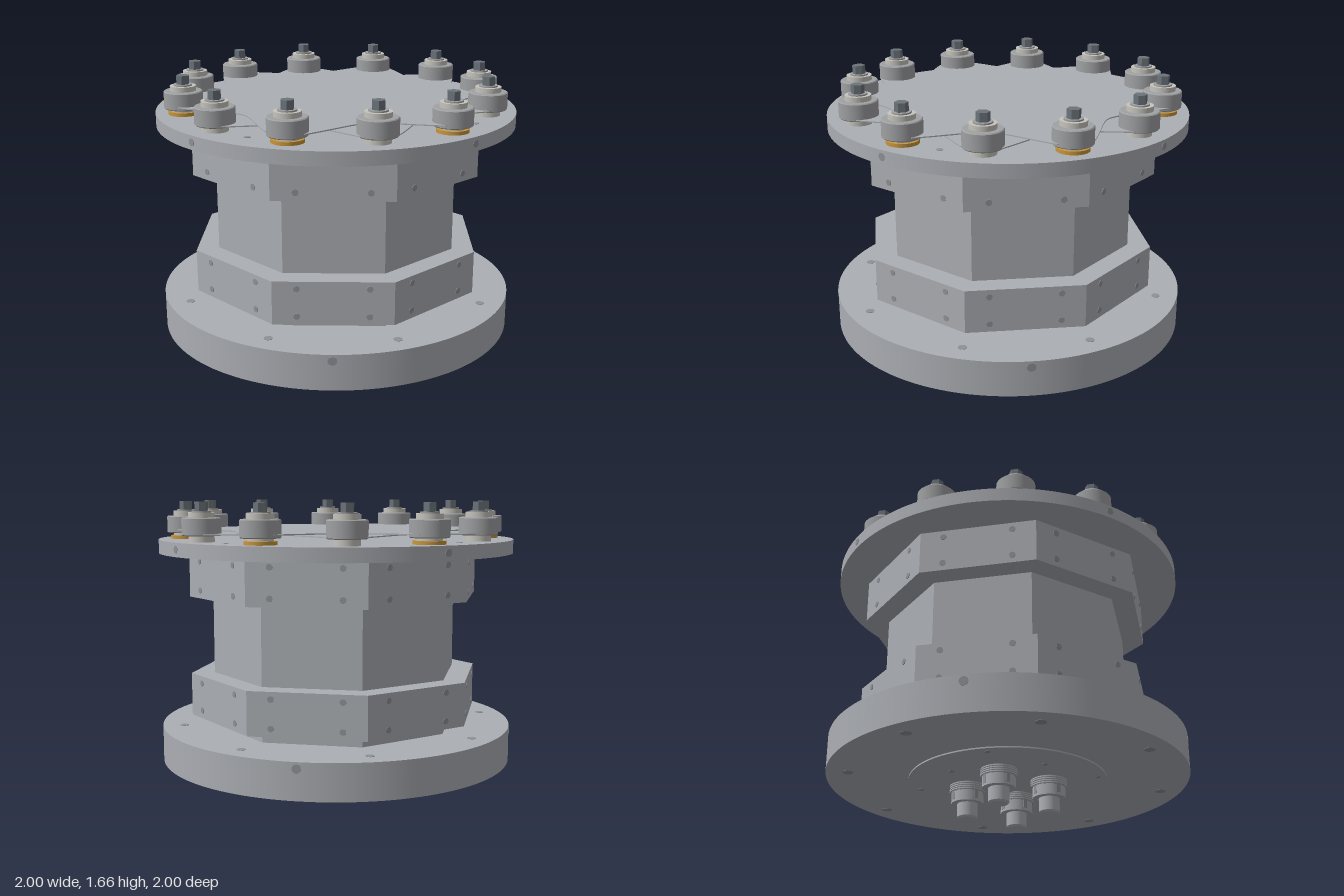
import * as THREE from 'three';

const mat = (name, color, flatShading = false) => {
  const m = new THREE.MeshStandardMaterial({ color, flatShading });
  m.name = name;
  return m;
};

export function createModel() {
  const root = new THREE.Group();
  root.name = 'turntableStand';
  const body = mat('body grey', 0xabaeb3);
  const facet = mat('body grey faceted', 0xabaeb3, true);
  const roller = mat('roller grey', 0xa0a1a3);
  const bush = mat('bushing pale', 0xc6c4bc);
  const steel = mat('bolt steel', 0x6c747a, true);
  const brass = mat('brass', 0xc8963c);
  const recess = mat('hole grey', 0x8e9196);

  const add = (parent, name, geo, material, x = 0, y = 0, z = 0) => {
    const m = new THREE.Mesh(geo, material);
    m.name = name;
    m.position.set(x, y, z);
    parent.add(m);
    return m;
  };
  // Upright cylinder between two heights
  const cyl = (parent, name, r, y0, y1, material, seg = 48, rBottom = r) =>
    add(parent, name, new THREE.CylinderGeometry(r, rBottom, y1 - y0, seg), material, 0, (y0 + y1) / 2, 0);
  const at = (name, angle, r) => {
    const g = new THREE.Group();
    g.name = name;
    g.position.set(Math.cos(angle) * r, 0, Math.sin(angle) * r);
    root.add(g);
    return g;
  };
  const lathe = (pts) => new THREE.LatheGeometry(pts.map(([r, y]) => new THREE.Vector2(r, y)), 40);

  // Base and top discs
  cyl(root, 'baseDisc', 1, 0.2, 0.4, body, 128);
  cyl(root, 'topDisc', 1, 1.38, 1.455, body, 128);
  cyl(root, 'undersideCover', 0.55, 0.192, 0.2, body, 96);

  // Eight-sided column with two clamping bands
  const octagon = (name, apothem, y0, y1) => {
    cyl(root, name, apothem / Math.cos(Math.PI / 8), y0, y1, facet, 8).rotation.y = Math.PI / 8;
  };
  octagon('column', 0.65, 0.4, 1.38);
  octagon('lowerBand', 0.77, 0.46, 0.7);
  octagon('upperBand', 0.77, 1.135, 1.38);

  // Fasteners on the side faces, turned around the axis
  const sideDot = (name, angle, r, x, y, radius) => {
    const g = new THREE.Group();
    g.name = name;
    g.rotation.y = angle;
    root.add(g);
    add(g, name + 'Face', new THREE.CylinderGeometry(radius, radius, 0.006, 18), recess, x, y, r).rotation.x = Math.PI / 2;
  };
  for (let i = 0; i < 8; i++) {
    for (const x of [-0.19, 0.19])
      for (const y of [0.505, 0.66, 1.18, 1.34]) sideDot('bandScrew', i * Math.PI / 4, 0.77, x, y, 0.017);
  }
  for (let i = 0; i < 4; i++) {
    sideDot('baseRimHole', i * Math.PI / 2, 0.999, 0, 0.365, 0.024);
    sideDot('topRimHole', Math.PI / 4 + i * Math.PI / 2, 0.999, 0, 1.42, 0.02);
  }

  // Holes on the horizontal faces
  for (let i = 0; i < 8; i++) {
    const g = at('baseBoltHole', Math.PI / 8 + i * Math.PI / 4, 0.88);
    cyl(g, 'holeTop', 0.024, 0.398, 0.402, recess, 20);
    cyl(g, 'holeBottom', 0.03, 0.198, 0.202, recess, 20);
    const c = at('coverScrew', i * Math.PI / 4, i % 2 ? 0.36 : 0.5);
    cyl(c, 'screwFace', 0.016, 0.19, 0.194, recess, 16);
  }
  for (let i = 0; i < 4; i++) {
    const g = at('topPinHole', Math.PI / 6 + i * Math.PI / 2, 0.85);
    cyl(g, 'pinHole', 0.018, 1.453, 1.457, recess, 20);
  }

  // Two six-pointed plates with concave sides, one for each set of rollers
  const star = (name, offset, y) => {
    const pts = [];
    for (let k = 0; k < 6; k++) {
      for (let j = -10; j <= 10; j++) {
        const t = j * 2.35;
        const r = 0.67 + 0.105 * Math.pow(Math.abs(t) / 15, 1.7);
        const a = (offset + 30 + k * 60 + t) * Math.PI / 180;
        pts.push(new THREE.Vector2(Math.cos(a) * r, -Math.sin(a) * r));
      }
    }
    pts.reverse();
    const geo = new THREE.ExtrudeGeometry(new THREE.Shape(pts), { depth: 0.006, bevelEnabled: false });
    geo.rotateX(-Math.PI / 2);
    add(root, name, geo, body, 0, y, 0);
  };
  star('lowerStarPlate', 15, 1.494);
  star('upperStarPlate', 45, 1.504);

  // Twelve rollers, every second one on a brass washer
  const rollerGeo = lathe([[0, 1.488], [0.1, 1.488], [0.1, 1.488], [0.105, 1.493], [0.105, 1.493],
    [0.105, 1.578], [0.105, 1.578], [0.1, 1.583], [0.1, 1.583], [0, 1.583]]);
  for (let k = 0; k < 12; k++) {
    const g = at('rollerUnit', (15 + 30 * k) * Math.PI / 180, 0.849);
    if (k % 2) cyl(g, 'brassWasher', 0.085, 1.455, 1.474, brass);
    cyl(g, 'spacer', 0.068, 1.455, 1.49, bush);
    add(g, 'roller', rollerGeo, roller);
    cyl(g, 'bushing', 0.07, 1.583, 1.61, bush);
    cyl(g, 'boltWasher', 0.05, 1.61, 1.618, roller, 32);
    cyl(g, 'boltHead', 0.036, 1.618, 1.665, steel, 6);
  }

  // Four cable connectors below the base
  const plugGeo = lathe([[0, 0], [0.048, 0], [0.048, 0], [0.057, 0.009], [0.057, 0.009], [0.057, 0.085],
    [0.057, 0.085], [0.09, 0.085], [0.09, 0.085], [0.09, 0.147], [0.09, 0.147], [0, 0.147]]);
  for (let i = 0; i < 4; i++) {
    const g = at('connector', i * Math.PI / 2, 0.23);
    add(g, 'plug', plugGeo, body);
    cyl(g, 'threadCore', 0.092, 0.145, 0.194, recess);
    for (let j = 0; j < 4; j++) cyl(g, 'threadRib', 0.1, 0.148 + j * 0.011, 0.155 + j * 0.011, body);
    for (let j = 0; j < 4; j++) {
      const a = (j + 0.5) * Math.PI / 2;
      const key = add(g, 'keySlot', new THREE.BoxGeometry(0.022, 0.045, 0.006), recess,
        Math.sin(a) * 0.089, 0.122, Math.cos(a) * 0.089);
      key.rotation.y = a;
    }
  }
  return root;
}
